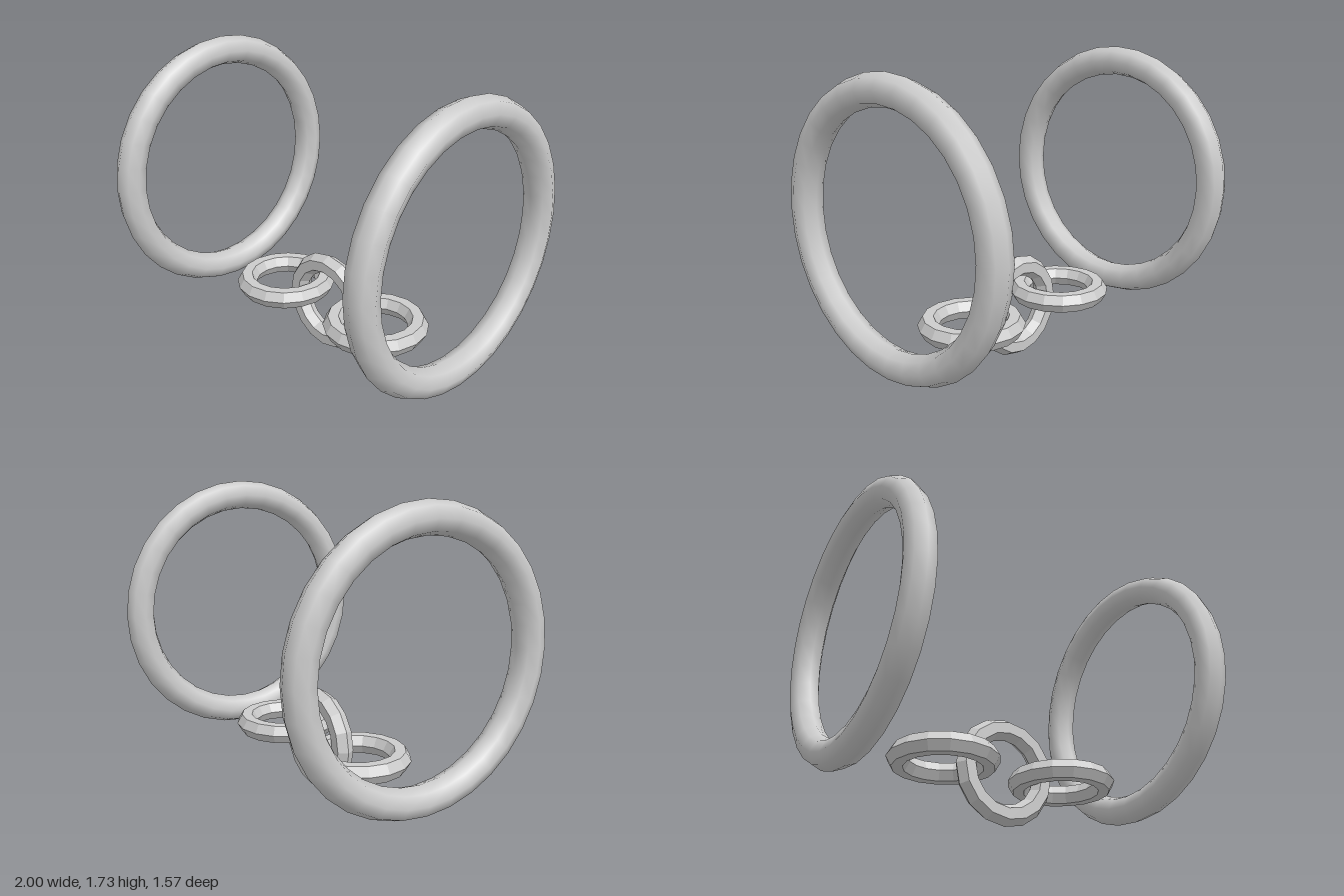
import * as THREE from 'three';

const material = new THREE.MeshStandardMaterial({ color: 0xcccccc });
const flatMaterial = new THREE.MeshStandardMaterial({ color: 0xcccccc, flatShading: true });

function ring(name, geometry, mat, position, rotation = [0, 0, 0]) {
  const mesh = new THREE.Mesh(geometry, mat);
  mesh.name = name;
  mesh.position.set(...position);
  mesh.rotation.set(...rotation);
  return mesh;
}

export function createModel() {
  const model = new THREE.Group();
  model.name = 'ringsAndChain';

  const cuffGeometry = new THREE.TorusGeometry(0.70, 0.085, 8, 32);
  const linkGeometry = new THREE.TorusGeometry(0.24, 0.06, 6, 16);

  // Upright link in the middle of the chain
  model.add(ring('middleLink', linkGeometry, flatMaterial, [0, 0.303, 0]));

  for (const side of [-1, 1]) {
    const label = side > 0 ? 'left' : 'right';
    // Large smooth ring at the end, facing sideways
    model.add(ring(label + 'Ring', cuffGeometry, material, [side * 0.915, 0.95, 0], [0, Math.PI / 2, 0]));
    // Horizontal link threaded through the middle one
    model.add(ring(label + 'Link', linkGeometry, flatMaterial, [side * 0.375, 0.305, 0], [Math.PI / 2, 0, 0]));
  }
  return model;
}
